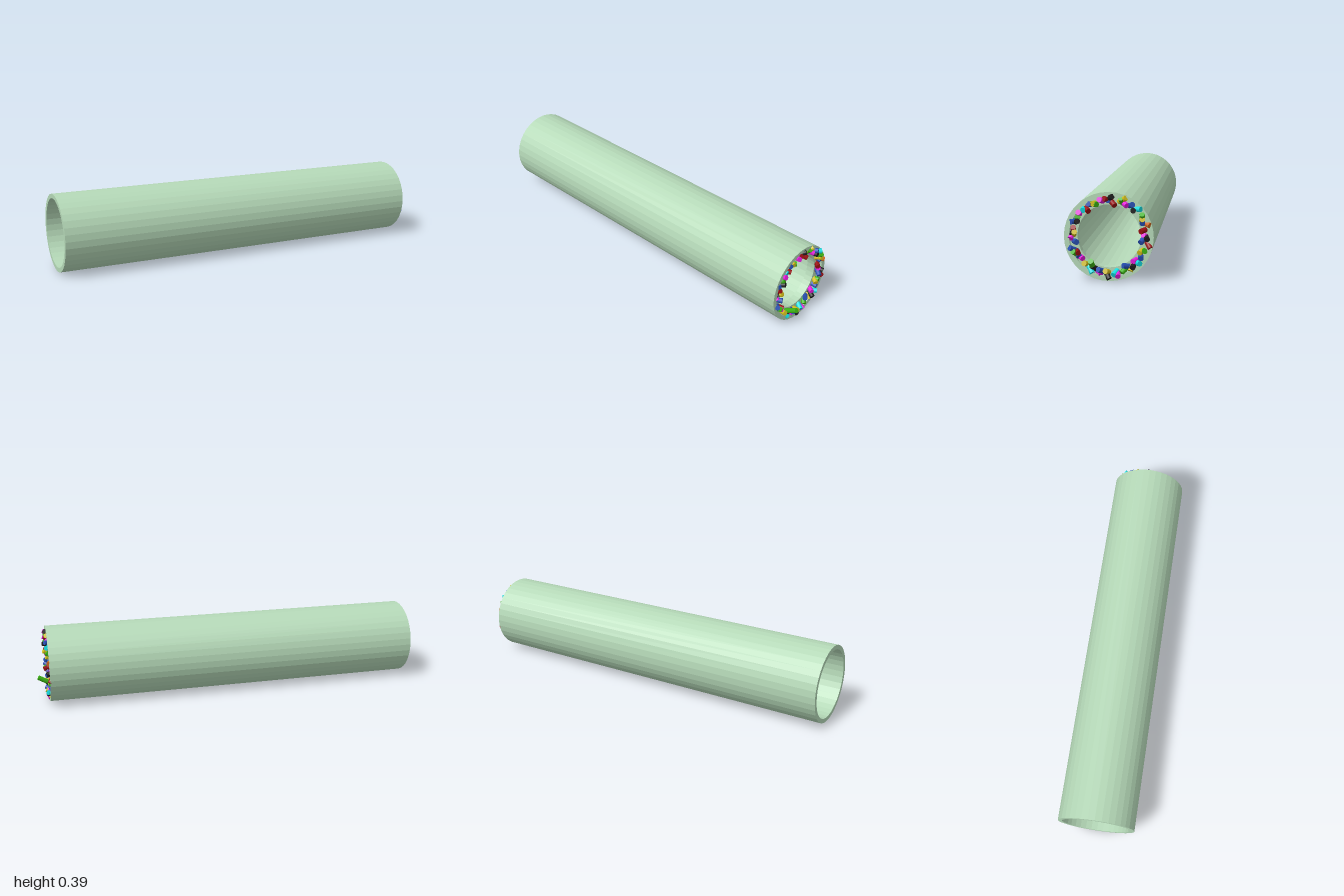
import * as THREE from 'three';

const CENTER_Y = 0.196;
const COLORS = {
  M: 0xe81ee0, R: 0x9a0f12, O: 0xd2691e, B: 0x2850b4, Y: 0xd2be1e,
  G: 0x3cb414, C: 0x14dce0, K: 0x1e1e1e,
};

// Hollow ring along x, from a closed rectangular profile
function ring(name, outer, inner, x0, x1, material) {
  const profile = [[outer, x0], [outer, x1], [inner, x1], [inner, x0], [outer, x0]]
    .map(([r, x]) => new THREE.Vector2(r, x));
  const geometry = new THREE.LatheGeometry(profile, 36);
  geometry.rotateZ(-Math.PI / 2);
  geometry.translate(0, CENTER_Y, 0);
  const mesh = new THREE.Mesh(geometry, material);
  mesh.name = name;
  return mesh;
}

// Small capped rod between two points
function rod(from, to, material) {
  const dir = to.clone().sub(from);
  const mesh = new THREE.Mesh(new THREE.CylinderGeometry(0.012, 0.012, dir.length(), 14), material);
  mesh.position.copy(from).lerp(to, 0.5);
  mesh.quaternion.setFromUnitVectors(new THREE.Vector3(0, 1, 0), dir.normalize());
  mesh.name = 'sprinkle';
  return mesh;
}

export function createModel() {
  const model = new THREE.Group();
  model.name = 'sprinkledTube';

  // Tube shell and the recessed rim that carries the sprinkles
  const green = new THREE.MeshStandardMaterial({ color: 0xb5d9b8, flatShading: true });
  model.add(ring('shell', 0.194, 0.172, -1, 0.95, green));
  model.add(ring('rim', 0.173, 0.138, 0.89, 0.93, green));

  // Sprinkles around the rim: colour order and radial position of each tip
  const order = 'MROBYGCKBMYGRKBRMGYBRCMGKBRYKMBBGRBMYGKCBMYKCMGBYKMCBYGRBK';
  const radial = '3274567464762645534524543643452653434036353756526536535725';
  const materials = {};
  for (const key in COLORS) materials[key] = new THREE.MeshStandardMaterial({ color: COLORS[key] });

  let seed = 7;
  const random = () => (seed = (seed * 16807) % 2147483647) / 2147483647;
  const point = (x, r, a) => new THREE.Vector3(x, CENTER_Y + r * Math.sin(a), -r * Math.cos(a));

  const sprinkles = new THREE.Group();
  sprinkles.name = 'sprinkles';
  [...order].forEach((key, i) => {
    const a = 0.07 + (i / order.length) * Math.PI * 2;
    const r = 0.121 + 0.0092 * Number(radial[i]);
    const tipX = i === 37 ? 0.998 : 0.948 + 0.016 * random();
    const tip = point(tipX, r, a);
    const base = point(0.928, 0.158 + 0.008 * (random() - 0.5), a + 0.4 * (random() - 0.5));
    sprinkles.add(rod(base, tip, materials[key]));
  });
  model.add(sprinkles);
  return model;
}
